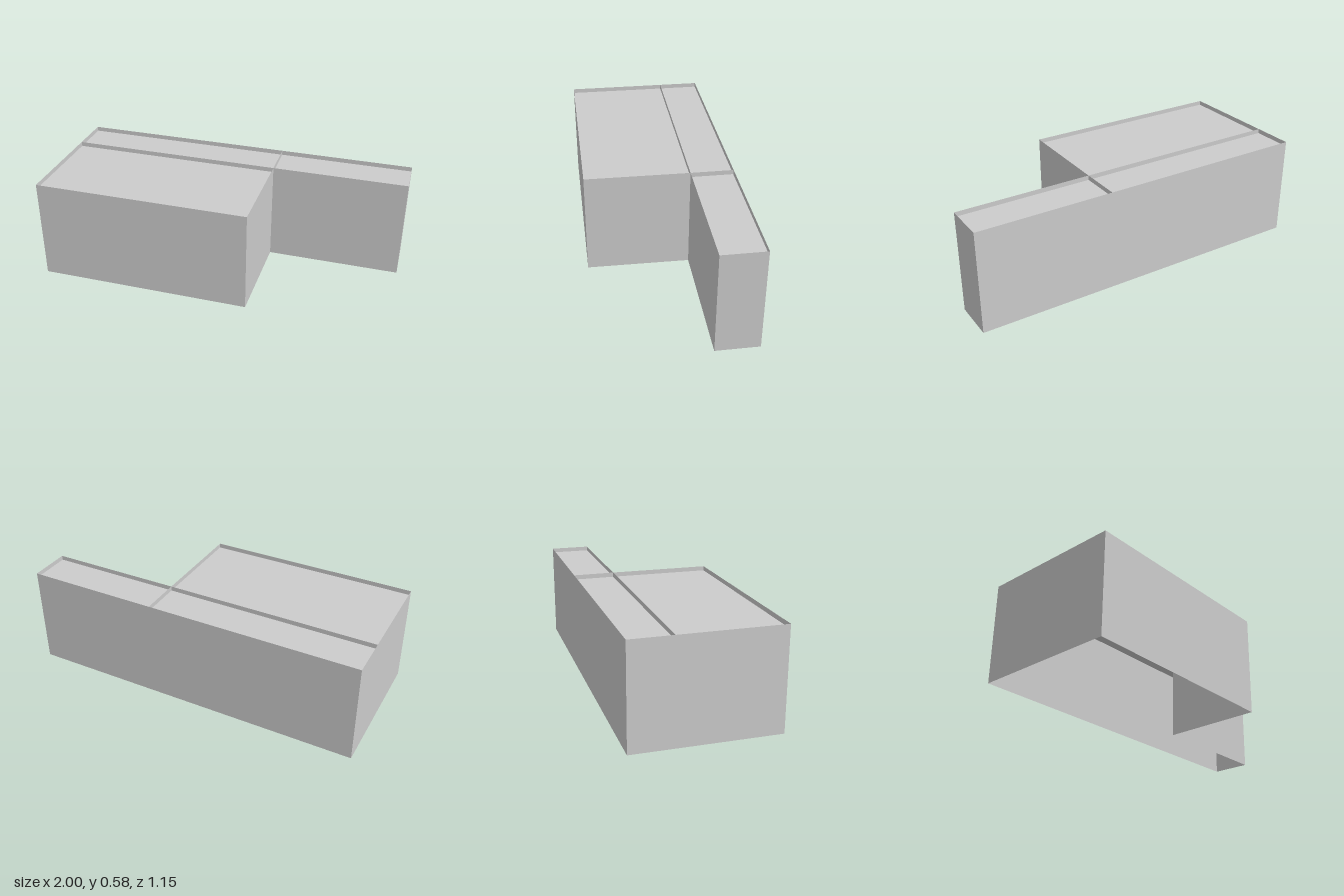
import * as THREE from 'three';

const TOP = 0.582;   // parapet height
const ROOF = 0.556;  // roof deck height

const material = new THREE.MeshStandardMaterial({ color: 0xcccccc, side: THREE.DoubleSide, flatShading: true });

// Plan corners as [x, z]
const backLow = [-1, -0.238];
const backHigh = [0.956, -0.576];
const wingFront = [0.998, -0.342];
const inner = [0.24, -0.21];
const mainFront = [0.336, 0.362];
const frontLow = [-0.86, 0.57];
const splitSide = [-0.958, -0.004];  // where the roof divider meets the side wall
const splitBack = [0.198, -0.444];   // where the roof divider meets the back wall

// Upright thin panel standing between two plan points
function panel(name, a, b, y0, y1) {
  const dx = b[0] - a[0], dz = b[1] - a[1];
  const mesh = new THREE.Mesh(new THREE.PlaneGeometry(Math.hypot(dx, dz), y1 - y0), material);
  mesh.position.set((a[0] + b[0]) / 2, (y0 + y1) / 2, (a[1] + b[1]) / 2);
  mesh.rotation.y = Math.atan2(-dz, dx);
  mesh.name = name;
  return mesh;
}

// Flat roof deck over a plan outline
function deck(name, points) {
  const shape = new THREE.Shape(points.map(([x, z]) => new THREE.Vector2(x, z)));
  const geometry = new THREE.ShapeGeometry(shape);
  geometry.rotateX(Math.PI / 2);
  // turn the faces upward
  geometry.setIndex(Array.from(geometry.index.array).reverse());
  geometry.computeVertexNormals();
  const mesh = new THREE.Mesh(geometry, material);
  mesh.position.y = ROOF;
  mesh.name = name;
  return mesh;
}

export function createModel() {
  const building = new THREE.Group();
  building.name = 'building';

  // Outer walls, rising past the roof as a parapet; open underneath
  const outline = [frontLow, mainFront, inner, wingFront, backHigh, backLow];
  const names = ['frontWall', 'mainSideWall', 'wingFrontWall', 'wingEndWall', 'backWall', 'sideWall'];
  outline.forEach((p, i) => building.add(panel(names[i], p, outline[(i + 1) % outline.length], 0, TOP)));

  // Roof decks
  building.add(
    deck('mainRoof', [splitSide, inner, mainFront, frontLow]),
    deck('rearRoof', [backLow, splitBack, inner, splitSide]),
    deck('wingRoof', [splitBack, backHigh, wingFront, inner]),
  );

  // Low parapets dividing the roof
  building.add(
    panel('longRoofDivider', splitSide, inner, ROOF, TOP),
    panel('shortRoofDivider', splitBack, inner, ROOF, TOP),
  );
  return building;
}
